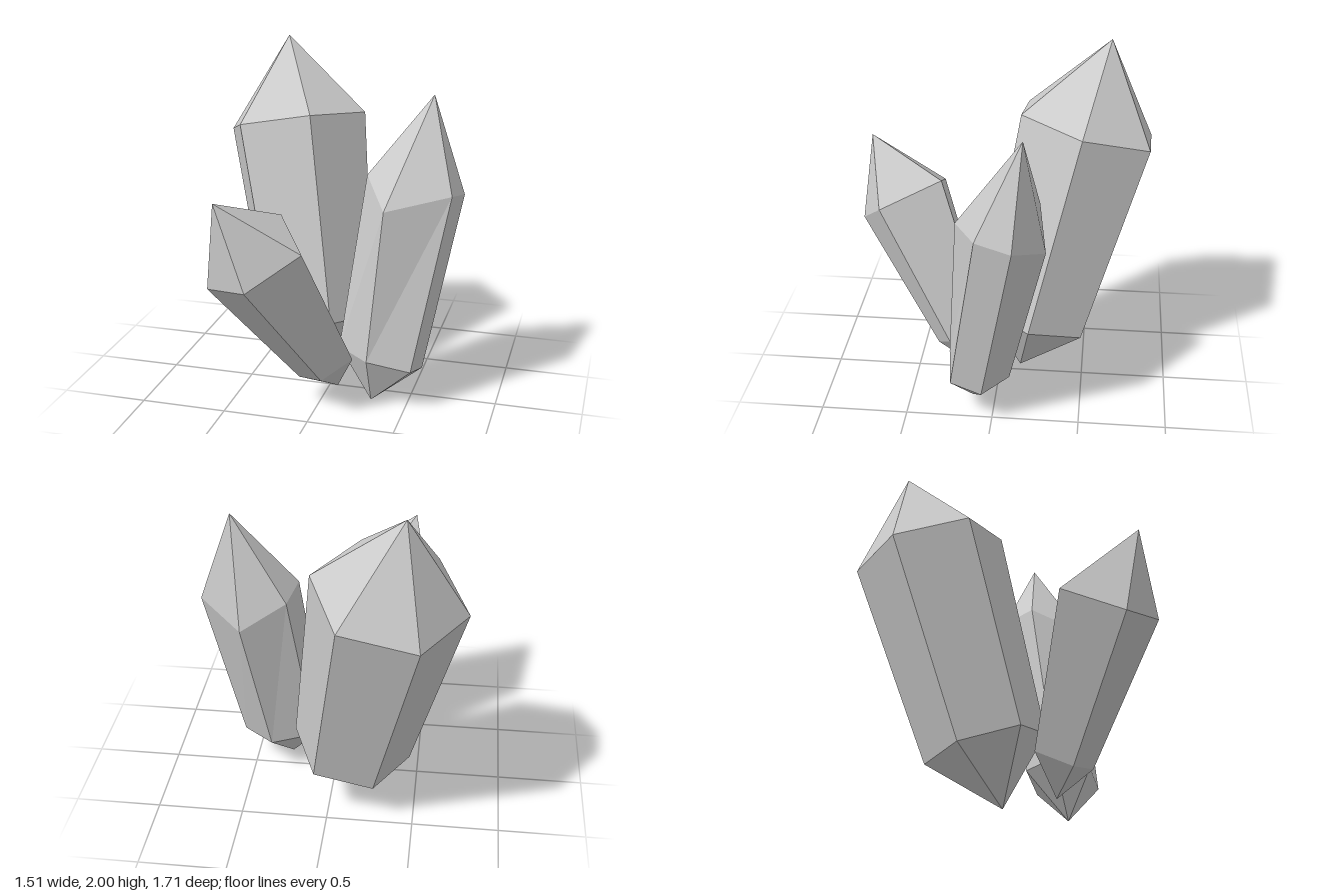
import * as THREE from 'three';

// Copy of a ring, scaled about its middle and moved to a new centre
function shrinkRing(ring, scale, centre) {
  const mid = [0, 1, 2].map(k => ring.reduce((sum, p) => sum + p[k], 0) / ring.length);
  return ring.map(p => p.map((v, k) => centre[k] + scale * (v - mid[k])));
}

// Crystal: pointed foot, tapered faceted shaft, pointed tip (rings run counter-clockwise from above)
function crystal(name, foot, lower, upper, tip) {
  const positions = [];
  const face = (...corners) => corners.forEach(p => positions.push(...p));
  lower.forEach((a, i) => {
    const j = (i + 1) % lower.length;
    const b = lower[j], c = upper[j], d = upper[i];
    face(foot, b, a);
    face(a, b, c);
    face(a, c, d);
    face(d, c, tip);
  });
  const geometry = new THREE.BufferGeometry();
  geometry.setAttribute('position', new THREE.Float32BufferAttribute(positions, 3));
  geometry.computeVertexNormals();
  const mesh = new THREE.Mesh(geometry, new THREE.MeshStandardMaterial({ color: 0xcccccc, flatShading: true }));
  mesh.name = name;
  return mesh;
}

export function createModel() {
  const group = new THREE.Group();
  group.name = 'crystalCluster';

  // Tall six-sided crystal leaning back
  const tallTop = [
    [-0.52, 1.38, -0.855], [-0.76, 1.42, -0.5], [-0.58, 1.545, -0.12],
    [-0.15, 1.63, -0.105], [0.09, 1.585, -0.46], [-0.09, 1.46, -0.84],
  ];
  group.add(crystal('tallCrystal', [-0.06, 0, -0.12],
    shrinkRing(tallTop, 0.8, [-0.12, 0.337, -0.2]), tallTop, [-0.42, 2, -0.6]));

  // Slim six-sided crystal at the side, with two shoulders set lower
  const slimBottom = [
    [0.385, 0.21, -0.09], [0.125, 0.27, -0.055], [0.09, 0.315, 0.125],
    [0.285, 0.3, 0.27], [0.535, 0.25, 0.235], [0.57, 0.205, 0.055],
  ];
  const slimTop = [
    [0.51, 1.11, -0.295], [0.25, 1.28, -0.245], [0.205, 1.32, -0.05],
    [0.36, 1.19, 0.215], [0.715, 1.265, 0.07], [0.755, 1.225, -0.13],
  ];
  group.add(crystal('slimCrystal', [0.285, 0, 0.135], slimBottom, slimTop, [0.56, 1.78, -0.17]));

  // Short five-sided crystal leaning forward
  const shortTop = [
    [-0.52, 1.03, 0.39], [-0.48, 0.855, 0.745], [-0.235, 0.89, 0.85],
    [0.035, 1.08, 0.7], [-0.18, 1.18, 0.365],
  ];
  group.add(crystal('shortCrystal', [0.085, 0.07, 0.14],
    shrinkRing(shortTop, 0.6, [0.02, 0.27, 0.225]), shortTop, [-0.41, 1.36, 0.81]));

  return group;
}
